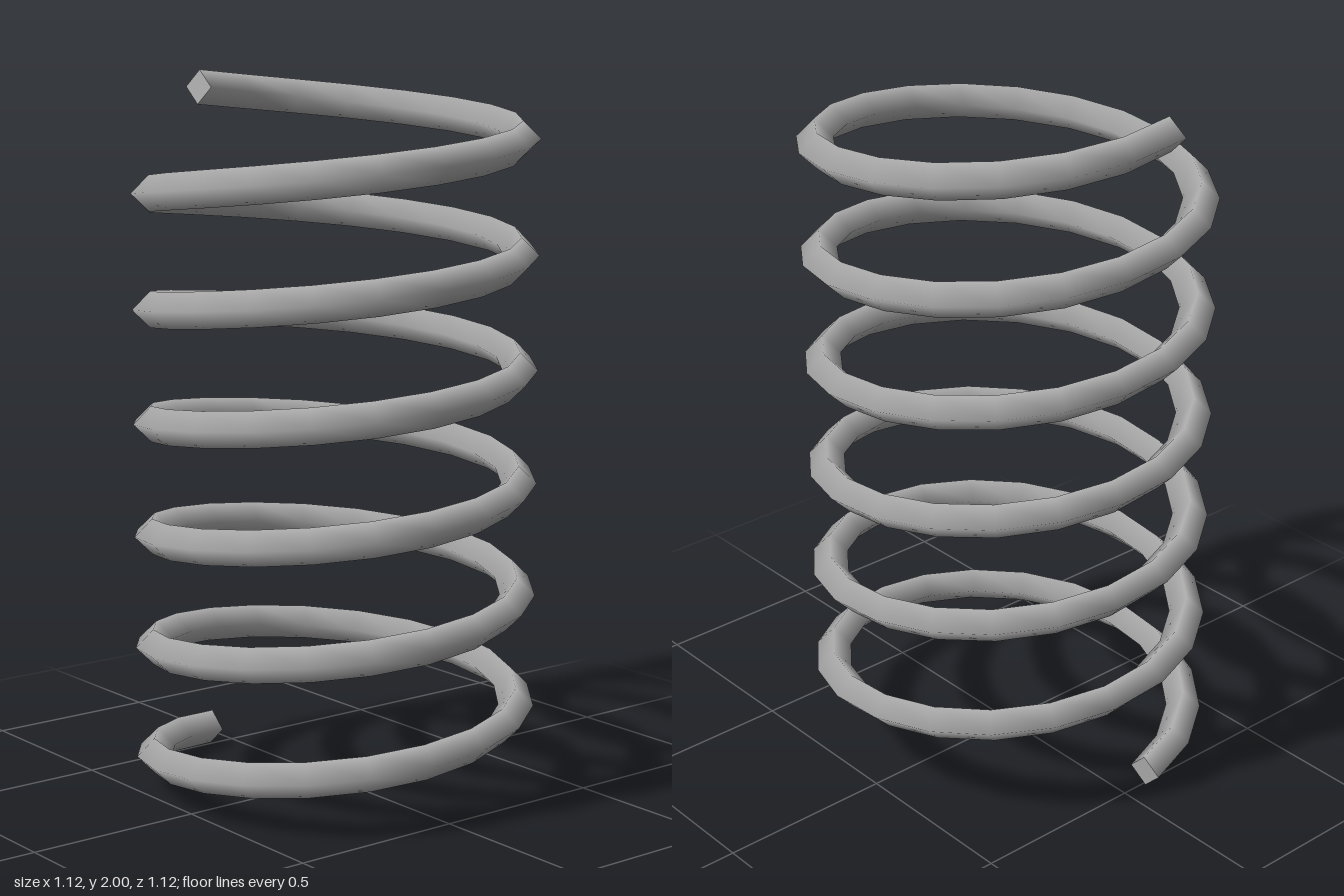
import * as THREE from 'three';

const R = 0.514, r = 0.0495;            // coil radius, wire radius
const SEGMENTS = 120, SIDES = 4;        // 20 steps per turn, diamond wire section
const START = THREE.MathUtils.degToRad(7.6);
const END = THREE.MathUtils.degToRad(6 * 360 + 10.8);
const Y0 = 0.05, RISE = 1.9;

// Centre, tangent and fixed (untwisted) section axes along the helix
function frameAt(t) {
  const a = START + (END - START) * t;
  const center = new THREE.Vector3(-R * Math.cos(a), Y0 + RISE * t, R * Math.sin(a));
  const tangent = new THREE.Vector3(R * Math.sin(a), RISE / (END - START), R * Math.cos(a)).normalize();
  const out = new THREE.Vector3(-Math.cos(a), 0, Math.sin(a));
  const up = new THREE.Vector3().crossVectors(tangent, out).normalize();
  if (up.y < 0) up.negate();
  return { center, tangent, out, up };
}

function sectionNormal(f, j) {
  const b = (j / SIDES) * Math.PI * 2;
  return f.out.clone().multiplyScalar(Math.cos(b)).addScaledVector(f.up, Math.sin(b));
}

function makeGeometry(pos, norm, index) {
  const g = new THREE.BufferGeometry();
  g.setAttribute('position', new THREE.Float32BufferAttribute(pos, 3));
  g.setAttribute('normal', new THREE.Float32BufferAttribute(norm, 3));
  g.setIndex(index);
  return g;
}

// Smooth-shaded wire swept along the helix
function wireGeometry() {
  const pos = [], norm = [], index = [];
  for (let i = 0; i <= SEGMENTS; i++) {
    const f = frameAt(i / SEGMENTS);
    for (let j = 0; j < SIDES; j++) {
      const n = sectionNormal(f, j);
      norm.push(...n.toArray());
      pos.push(...f.center.clone().addScaledVector(n, r).toArray());
      if (i < SEGMENTS) {
        const k = (j + 1) % SIDES;
        const a = i * SIDES + j, b = i * SIDES + k;
        index.push(a, a + SIDES, b, b, a + SIDES, b + SIDES);
      }
    }
  }
  return makeGeometry(pos, norm, index);
}

// Flat cap closing one end of the wire
function capGeometry(t) {
  const f = frameAt(t), pos = [], norm = [], index = [];
  const n = f.tangent.clone().multiplyScalar(t === 0 ? -1 : 1);
  for (let j = 0; j < SIDES; j++) {
    pos.push(...f.center.clone().addScaledVector(sectionNormal(f, j), r).toArray());
    norm.push(...n.toArray());
    if (j > 1) index.push(...(t === 0 ? [0, j - 1, j] : [0, j, j - 1]));
  }
  return makeGeometry(pos, norm, index);
}

export function createModel() {
  const steel = new THREE.MeshStandardMaterial({ color: 0xb0b0b0 });
  steel.name = 'steel grey';

  const spring = new THREE.Group();
  spring.name = 'coilSpring';
  const add = (name, geometry) => {
    const mesh = new THREE.Mesh(geometry, steel);
    mesh.name = name;
    spring.add(mesh);
  };
  add('coilWire', wireGeometry());
  add('bottomEndCap', capGeometry(0));
  add('topEndCap', capGeometry(1));
  return spring;
}
